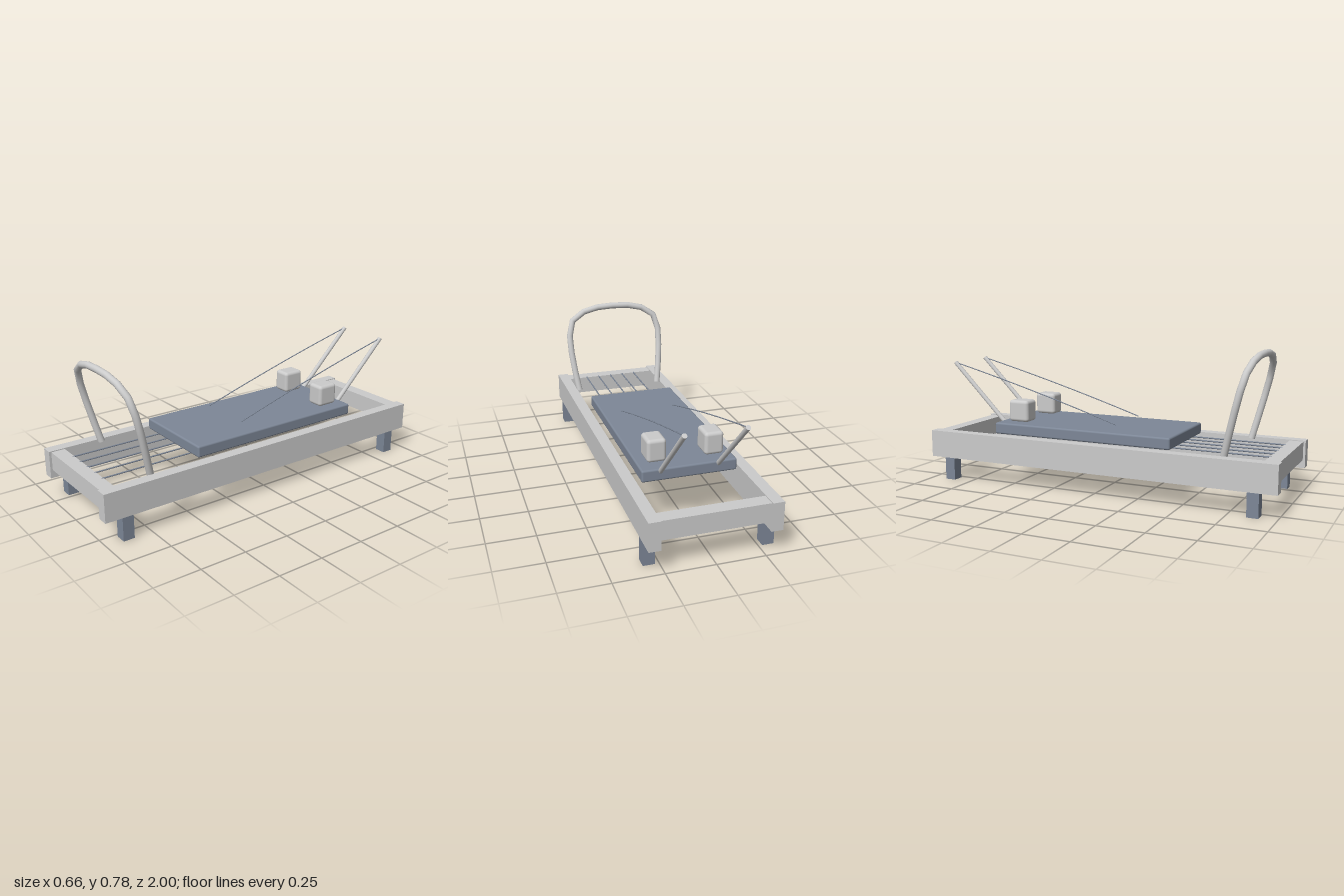
import * as THREE from 'three';
import { RoundedBoxGeometry } from 'three/addons/geometries/RoundedBoxGeometry.js';

const V = (x, y, z) => new THREE.Vector3(x, y, z);

export function createModel() {
  const model = new THREE.Group();
  const frameMat = new THREE.MeshStandardMaterial({ color: 0xcccccc });
  const padMat = new THREE.MeshStandardMaterial({ color: 0xcccccc });
  const darkMat = new THREE.MeshStandardMaterial({ color: 0x7d8797 });

  function add(name, geometry, material, x = 0, y = 0, z = 0) {
    const mesh = new THREE.Mesh(geometry, material);
    mesh.name = name;
    mesh.position.set(x, y, z);
    model.add(mesh);
    return mesh;
  }

  // Straight round bar between two points
  function rod(name, a, b, radius, sides, material) {
    const mesh = add(name, new THREE.CylinderGeometry(radius, radius, a.distanceTo(b), sides), material);
    mesh.position.copy(a).add(b).multiplyScalar(0.5);
    mesh.quaternion.setFromUnitVectors(V(0, 1, 0), b.clone().sub(a).normalize());
  }

  // Side rails, end beams and legs
  for (const s of [1, -1]) {
    const side = s > 0 ? 'left' : 'right';
    const end = s > 0 ? 'front' : 'back';
    add(side + 'Rail', new THREE.BoxGeometry(0.06, 0.15, 2), frameMat, s * 0.3, 0.2, 0);
    add(end + 'Beam', new THREE.BoxGeometry(0.54, 0.1, 0.075), frameMat, 0, 0.22, s * 0.95);
    for (const z of [0.88, -0.88])
      add(side + (z > 0 ? 'Front' : 'Back') + 'Leg', new THREE.BoxGeometry(0.06, 0.125, 0.06), darkMat, s * 0.3, 0.0625, z);
  }

  // Sliding carriage
  add('carriage', new RoundedBoxGeometry(0.495, 0.063, 1.045, 3, 0.01), darkMat, 0, 0.3035, -0.1025);

  // Springs
  for (let i = -2; i <= 2; i++)
    rod('spring', V(i * 0.079, 0.268, 0.4), V(i * 0.079, 0.268, 0.92), 0.004, 8, darkMat);

  // Leaning foot bar: half outline mirrored across the middle
  const half = [[0.254, 0.268], [0.271, 0.38], [0.284, 0.5], [0.286, 0.6], [0.261, 0.688], [0.186, 0.737], [0.097, 0.757]];
  const outline = [...half, [0, 0.761], ...half.map(([x, y]) => [-x, y]).reverse()];
  const barCurve = new THREE.CatmullRomCurve3(outline.map(([x, y]) => V(x, y, 0.708 + (y - 0.27) * 0.25)));
  // Ring positions fall exactly on the outline points
  barCurve.getPointAt = (t, target) => barCurve.getPoint(t, target);
  barCurve.getTangentAt = (t, target) => barCurve.getTangent(t, target);
  const barMat = frameMat.clone();
  barMat.side = THREE.DoubleSide;
  add('footBar', new THREE.TubeGeometry(barCurve, outline.length - 1, 0.0185, 16), barMat);

  // Shoulder rests, rope posts and ropes
  for (const s of [1, -1]) {
    const side = s > 0 ? 'left' : 'right';
    const x = s * 0.15;
    add(side + 'ShoulderRest', new RoundedBoxGeometry(0.1, 0.12, 0.122, 4, 0.018), padMat, x, 0.4, -0.502);
    rod(side + 'RopePost', V(x, 0.315, -0.612), V(x, 0.649, -0.948), 0.0125, 16, frameMat);
    const ropeCurve = new THREE.QuadraticBezierCurve3(V(x, 0.648, -0.945), V(x, 0.521, -0.43), V(x, 0.36, 0.078));
    add(side + 'Rope', new THREE.TubeGeometry(ropeCurve, 12, 0.003, 8), darkMat);
  }

  return model;
}
